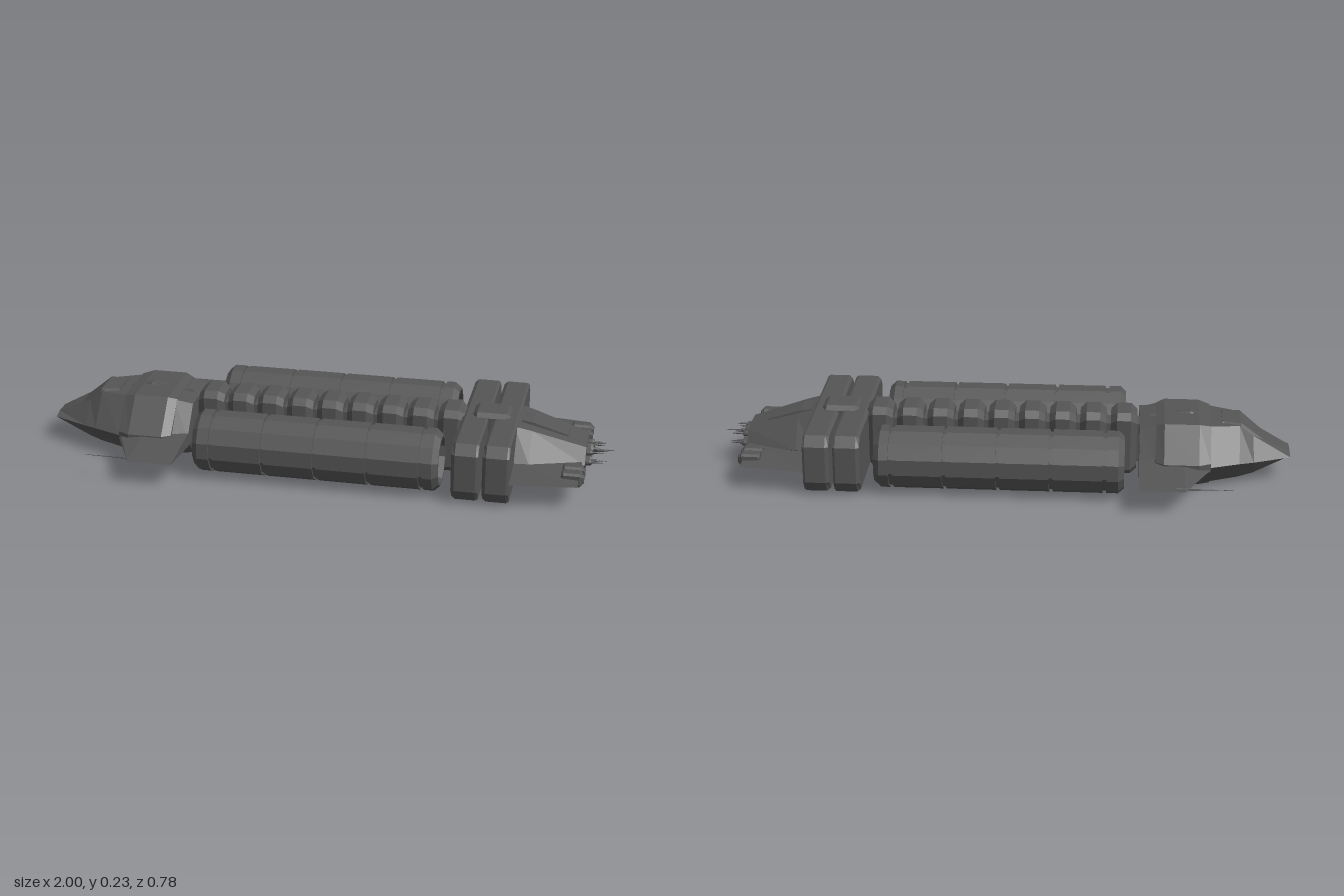
import * as THREE from 'three';

const hull = new THREE.MeshStandardMaterial({ color: 0x555555, flatShading: true });

// Mirrored hull: each section is [x, [[z, y], ...]] listed from top to bottom on the +z side.
function loft(sections) {
  const rings = sections.map(([x, half]) => [
    ...half.map(([z, y]) => [x, y, z]),
    ...half.slice().reverse().map(([z, y]) => [x, y, -z]),
  ]);
  const n = rings[0].length, pos = [];
  const tri = (a, b, c) => pos.push(...a, ...b, ...c);
  for (let i = 0; i < rings.length - 1; i++) {
    for (let j = 0; j < n; j++) {
      const k = (j + 1) % n, p = rings[i], q = rings[i + 1];
      tri(p[j], p[k], q[k]);
      tri(p[j], q[k], q[j]);
    }
  }
  const first = rings[0], last = rings[rings.length - 1];
  for (let j = 1; j < n - 1; j++) {
    tri(first[0], first[j + 1], first[j]);
    tri(last[0], last[j], last[j + 1]);
  }
  const g = new THREE.BufferGeometry();
  g.setAttribute('position', new THREE.Float32BufferAttribute(pos, 3));
  g.computeVertexNormals();
  return g;
}

// Lathe along +x from [x, radius] pairs, with flat facets facing up and down.
function turned(profile, sides) {
  const pts = profile.map(([x, r]) => new THREE.Vector2(r, x));
  return new THREE.LatheGeometry(pts, sides, Math.PI / sides).rotateZ(-Math.PI / 2);
}

// Box with all edges chamfered, centred on its own origin.
function chamferBox(w, h, d, c) {
  const ring = (x, s) => [x, [
    [d / 2 - c - s, h / 2 - s], [d / 2 - s, h / 2 - c - s],
    [d / 2 - s, -h / 2 + c + s], [d / 2 - c - s, -h / 2 + s],
  ]];
  return loft([ring(-w / 2, c * 0.7), ring(-w / 2 + c, 0), ring(w / 2 - c, 0), ring(w / 2, c * 0.7)]);
}

export function createModel() {
  const model = new THREE.Group();
  model.name = 'cargoSpaceship';
  const add = (name, geo, x = 0, y = 0, z = 0) => {
    const m = new THREE.Mesh(geo, hull);
    m.name = name;
    m.position.set(x, y, z);
    model.add(m);
    return m;
  };

  // Command section with a wedge nose
  add('commandHull', loft([
    [-1.0, [[0.03, 0.1], [0.065, 0.09], [0.03, 0.08]]],
    [-0.87, [[0.06, 0.165], [0.132, 0.095], [0.08, 0.035]]],
    [-0.82, [[0.07, 0.205], [0.16, 0.1], [0.1, 0.028]]],
    [-0.72, [[0.1, 0.212], [0.2, 0.1], [0.13, 0.02]]],
    [-0.54, [[0.11, 0.215], [0.2, 0.1], [0.13, 0.016]]],
    [-0.475, [[0.1, 0.2], [0.18, 0.1], [0.12, 0.022]]],
  ]));
  add('canopy', loft([
    [-0.905, [[0.045, 0.148], [0.055, 0.135]]],
    [-0.825, [[0.06, 0.212], [0.08, 0.18]]],
    [-0.76, [[0.05, 0.214], [0.08, 0.19]]],
  ]));
  add('shoulderArmour', loft([
    [-0.72, [[0.105, 0.215], [0.2, 0.115], [0.2, 0.085], [0.13, 0.016]]],
    [-0.68, [[0.12, 0.225], [0.22, 0.115], [0.22, 0.085], [0.14, 0.012]]],
    [-0.56, [[0.12, 0.225], [0.22, 0.115], [0.22, 0.085], [0.14, 0.012]]],
    [-0.53, [[0.105, 0.215], [0.2, 0.115], [0.2, 0.085], [0.13, 0.016]]],
  ]));
  add('dorsalRidge', loft([
    [-0.73, [[0.002, 0.213], [0.004, 0.2]]],
    [-0.65, [[0.012, 0.232], [0.03, 0.2]]],
    [-0.5, [[0.006, 0.212], [0.01, 0.2]]],
  ]));
  add('bellyPlate', chamferBox(0.2, 0.02, 0.14, 0.005), -0.6, 0.013);
  add('frontWings', loft([
    [-0.72, [[0.18, 0.1], [0.2, 0.092], [0.18, 0.084]]],
    [-0.63, [[0.18, 0.115], [0.39, 0.092], [0.18, 0.068]]],
    [-0.475, [[0.18, 0.115], [0.39, 0.092], [0.18, 0.068]]],
  ]));

  // Spine of chamfered modules on a central beam
  add('spineBeam', new THREE.BoxGeometry(1.1, 0.14, 0.08), 0.04, 0.12, 0);
  const moduleGeo = chamferBox(0.092, 0.228, 0.142, 0.022);
  for (let i = 0; i < 9; i++) add('spineModule', moduleGeo, -0.42 + i * 0.107, 0.12, 0);
  add('spineCoupling', chamferBox(0.13, 0.228, 0.12, 0.015), 0.575, 0.12, 0);

  // Cargo tank profile: recessed ends, collars and four banded segments
  const tank = [[-0.4, 0], [-0.4, 0.075], [-0.425, 0.08], [-0.425, 0.09], [-0.405, 0.108], [-0.365, 0.108], [-0.365, 0.1]];
  for (let i = 0; i < 4; i++) {
    const x = -0.352 + i * 0.182;
    tank.push([x, 0.1], [x, 0.108], [x + 0.17, 0.108], [x + 0.17, 0.1]);
  }
  tank.push([0.378, 0.1], [0.378, 0.108], [0.41, 0.108], [0.43, 0.09], [0.43, 0.08], [0.405, 0.075], [0.405, 0]);
  const tankGeo = turned(tank, 12);

  // Engine section bulkheads
  const bulkhead = (x0, x1) => {
    const ring = (x, s) => [x, [[0.29 - s, 0.22 - s], [0.315 - s, 0.185], [0.315 - s, 0.055], [0.29 - s, 0.015 + s]]];
    return loft([ring(x0, 0.008), ring(x0 + 0.012, 0), ring(x1 - 0.008, 0), ring(x1, 0.004)]);
  };
  add('frontBulkhead', bulkhead(0.475, 0.566));
  add('rearBulkhead', bulkhead(0.58, 0.67));

  // Tapered engine hull with its raised panel and fins
  add('engineHull', loft([
    [0.66, [[0.1, 0.215], [0.175, 0.11], [0.1, 0.018]]],
    [0.72, [[0.092, 0.2], [0.165, 0.108], [0.1, 0.02]]],
    [0.905, [[0.065, 0.145], [0.1, 0.093], [0.042, 0.052]]],
  ]));
  add('dorsalPanel', loft([
    [0.68, [[0.042, 0.216], [0.046, 0.18]]],
    [0.72, [[0.042, 0.21], [0.046, 0.17]]],
    [0.84, [[0.032, 0.17], [0.036, 0.14]]],
  ]));
  add('rearFins', loft([
    [0.66, [[0.15, 0.112], [0.31, 0.091], [0.15, 0.07]]],
    [0.895, [[0.08, 0.104], [0.28, 0.091], [0.08, 0.076]]],
  ]));

  // Engine nozzle with a recessed mouth and a central spike
  const nozzle = (y, z, r, tip) => {
    add('nozzle', turned([[0.86, r], [0.918, r], [0.926, r * 0.85], [0.926, r * 0.6], [0.905, r * 0.5], [0.905, 0]], 12), 0, y, z);
    add('nozzleSpike', turned([[0.9, r * 0.35], [0.94, r * 0.3], [0.945, 0.003], [tip, 0.0008]], 8), 0, y, z);
  };
  nozzle(0.112, 0, 0.021, 1.0);

  const podGeo = chamferBox(0.07, 0.048, 0.044, 0.007);
  const capGeo = chamferBox(0.02, 0.03, 0.026, 0.004);
  for (const s of [1, -1]) {
    add('cargoTank', tankGeo, 0, 0.118, s * 0.212);
    for (const x of [-0.21, 0.21]) add('tankStrut', new THREE.BoxGeometry(0.038, 0.08, 0.1), x, 0.12, s * 0.08);
    add('wingAntenna', turned([[-0.79, 0.0008], [-0.68, 0.002], [-0.6, 0.004]], 6), 0, 0.092, s * 0.365);
    nozzle(0.088, s * 0.042, 0.016, 0.975);
    nozzle(0.096, s * 0.076, 0.012, 0.965);
    nozzle(0.118, s * 0.046, 0.01, 0.965);
    for (const z of [0.155, 0.209]) {
      add('thrusterPod', podGeo, 0.87, 0.091, s * z);
      add('thrusterCap', capGeo, 0.902, 0.091, s * z);
    }
  }
  return model;
}
